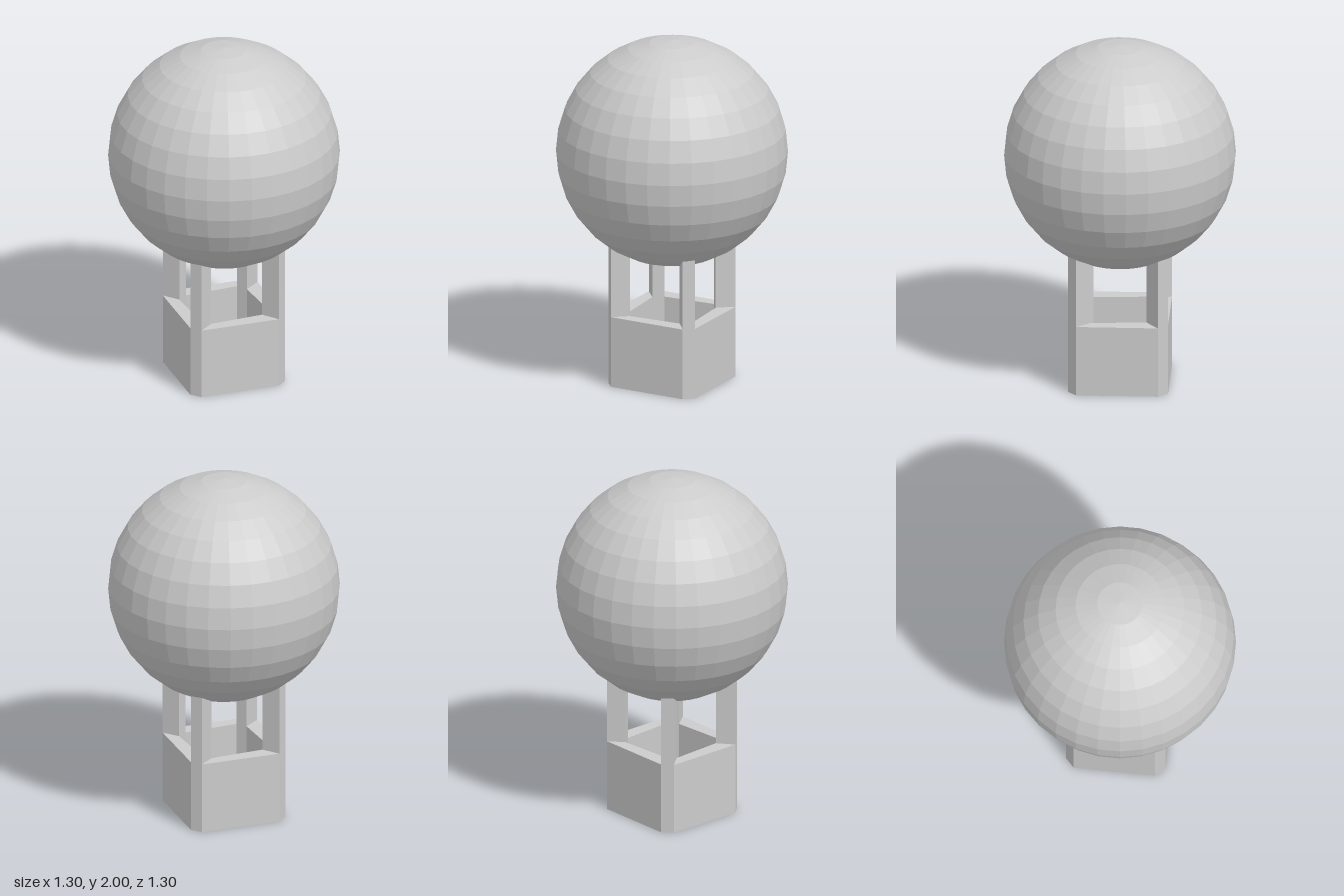
import * as THREE from 'three';

const material = new THREE.MeshStandardMaterial({ color: 0xcccccc, flatShading: true });

// Vertical prism over a plan outline given as [x, z] corners
function prism(name, corners, bottom, top) {
  const shape = new THREE.Shape(corners.map(([x, z]) => new THREE.Vector2(x, -z)));
  const geometry = new THREE.ExtrudeGeometry(shape, { depth: top - bottom, bevelEnabled: false });
  geometry.rotateX(-Math.PI / 2).translate(0, bottom, 0);
  const mesh = new THREE.Mesh(geometry, material);
  mesh.name = name;
  return mesh;
}

// Quarter turn about the vertical axis, front to left of the picture plane
const turn = ([x, z]) => [-z, x];

export function createModel() {
  const model = new THREE.Group();
  model.name = 'hotAirBalloon';

  // Faceted envelope
  const envelope = new THREE.Mesh(new THREE.SphereGeometry(0.65, 32, 16), material);
  envelope.name = 'envelope';
  envelope.position.y = 1.35;
  model.add(envelope);

  // Plan of one corner post: outer edge and inner edge
  const outerA = [0.135, 0.335], outerB = [0.2, 0.305];
  const innerA = [0.095, 0.23], innerB = [0.158, 0.207];

  const basket = new THREE.Group();
  basket.name = 'basket';
  model.add(basket);

  // Four posts reaching into the envelope, with a wall between each pair
  const floorOutline = [];
  for (let i = 0; i < 4; i++) {
    const side = new THREE.Group();
    side.name = 'basketSide';
    side.rotation.y = i * Math.PI / 2;
    side.add(prism('post', [outerA, outerB, innerB, innerA], 0, 0.85));
    side.add(prism('wall', [turn(outerB), outerA, innerA, turn(innerB)], 0, 0.41));
    basket.add(side);

    // Floor follows the inner corners of the posts
    let a = innerA, b = innerB;
    for (let k = 0; k < i; k++) { a = turn(a); b = turn(b); }
    floorOutline.push(b, a);
  }
  basket.add(prism('floor', floorOutline, 0, 0.05));

  return model;
}
